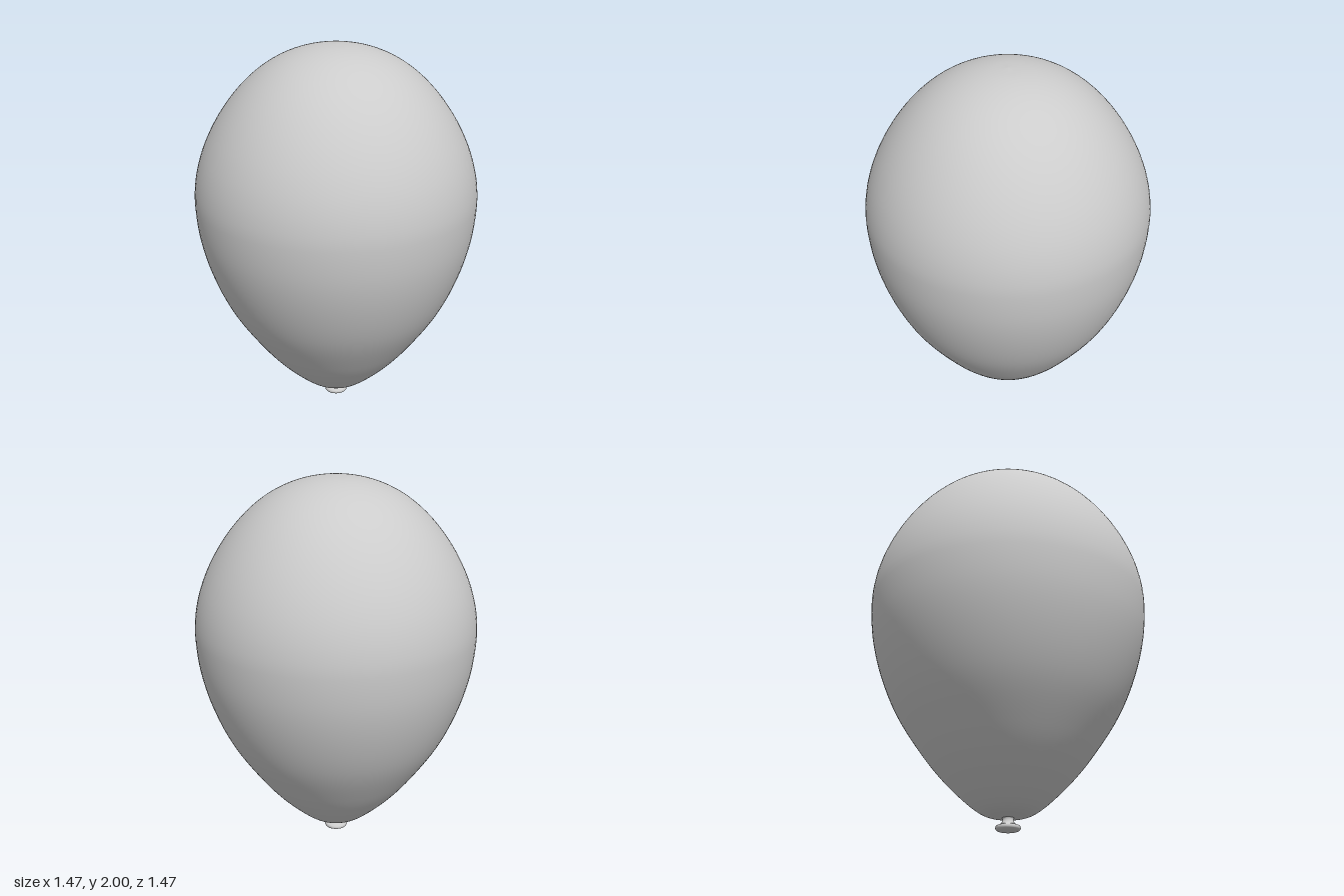
import * as THREE from 'three';

const material = new THREE.MeshStandardMaterial({ color: 0xcccccc });

// Smooth solid of revolution through [radius, height] points, bottom to top
function turned(name, points, steps, segments) {
  const curve = new THREE.CatmullRomCurve3(
    points.map(([r, y]) => new THREE.Vector3(r, y, 0)), false, 'centripetal');
  const profile = curve.getPoints(steps).map(p => new THREE.Vector2(Math.max(p.x, 0), p.y));
  const mesh = new THREE.Mesh(new THREE.LatheGeometry(profile, segments), material);
  mesh.name = name;
  return mesh;
}

export function createModel() {
  const group = new THREE.Group();
  group.name = 'balloon';

  // Inflated body: tapered lower half, rounded crown
  const body = [
    [0.028, 0.064], [0.06, 0.069], [0.12, 0.083], [0.17, 0.112], [0.265, 0.195],
    [0.36, 0.295], [0.45, 0.41], [0.58, 0.61], [0.667, 0.81], [0.72, 1.01],
  ];
  const radius = 0.737, middle = 1.2, crown = 0.8;
  for (let i = 0; i <= 12; i++) {
    const a = (i / 12) * Math.PI / 2;
    // Slight squeeze of the shoulders below a true ellipse
    const squeeze = 1 - 0.035 * Math.sin(2 * a) ** 2;
    body.push([radius * Math.cos(a) * squeeze, middle + crown * Math.sin(a)]);
  }
  group.add(turned('body', body, 110, 96));

  // Pinched neck flaring to the rolled lip
  group.add(turned('neck', [
    [0.034, 0.07], [0.028, 0.06], [0.029, 0.048], [0.036, 0.036], [0.05, 0.028],
    [0.06, 0.023], [0.063, 0.015], [0.061, 0.007], [0.055, 0.003],
  ].reverse(), 40, 48));

  // Closed underside of the lip
  group.add(turned('lipBase', [[0, 0], [0.03, 0], [0.05, 0.001], [0.055, 0.003]], 8, 48));

  return group;
}
